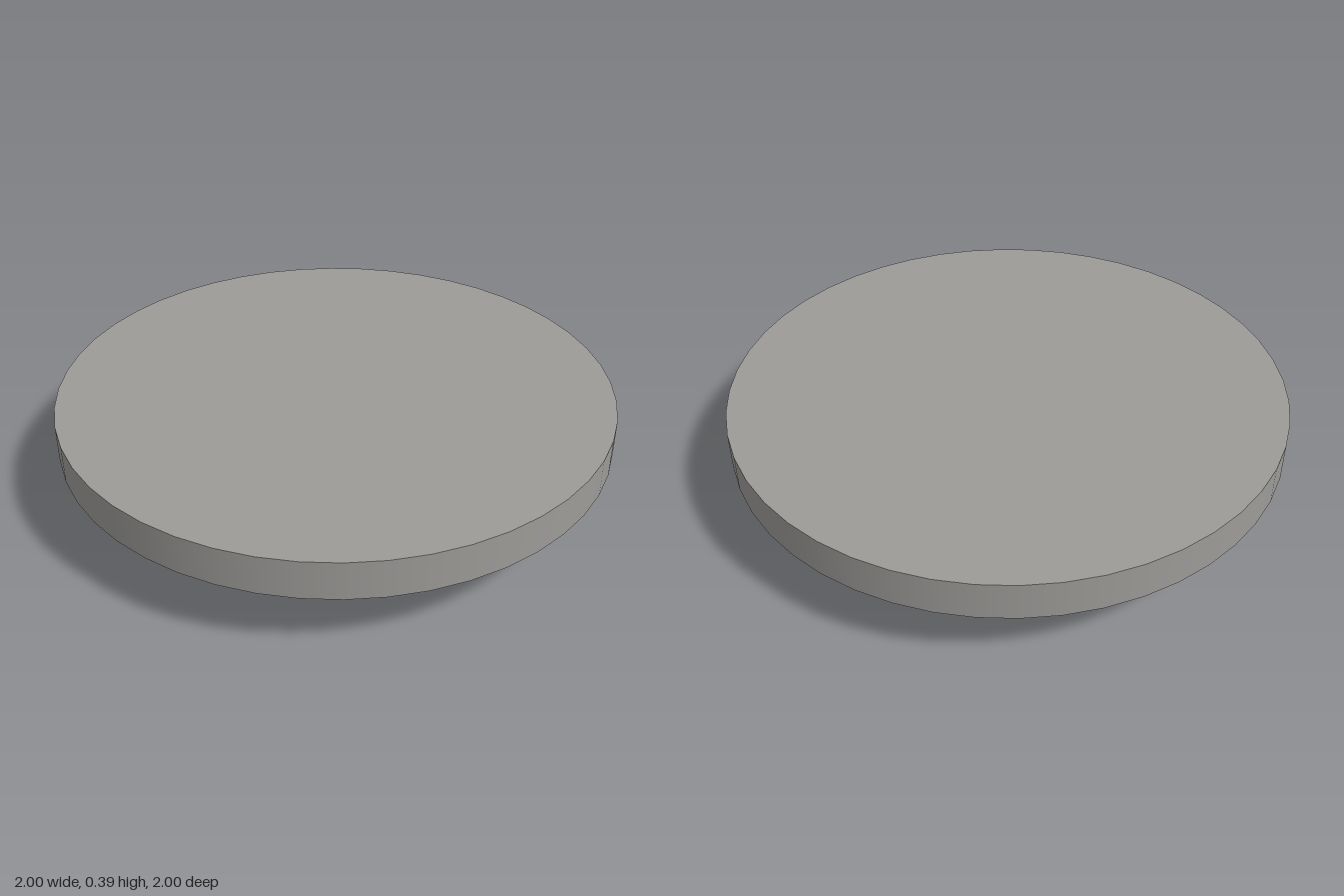
import * as THREE from 'three';

// Upright cylinder spanning y0..y1
function disc(name, radius, y0, y1, color) {
  const mesh = new THREE.Mesh(
    new THREE.CylinderGeometry(radius, radius, y1 - y0, 48),
    new THREE.MeshStandardMaterial({ color })
  );
  mesh.name = name;
  mesh.position.y = (y0 + y1) / 2;
  return mesh;
}

export function createModel() {
  const group = new THREE.Group();
  group.name = 'flangedKnob';
  // Narrow stem, ending just inside the plate
  group.add(disc('stem', 0.45, 0, 0.38, 0xcccccc));
  // Wide, darker round plate on top
  group.add(disc('plate', 1, 0.25, 0.39, 0x9c9b98));
  return group;
}
